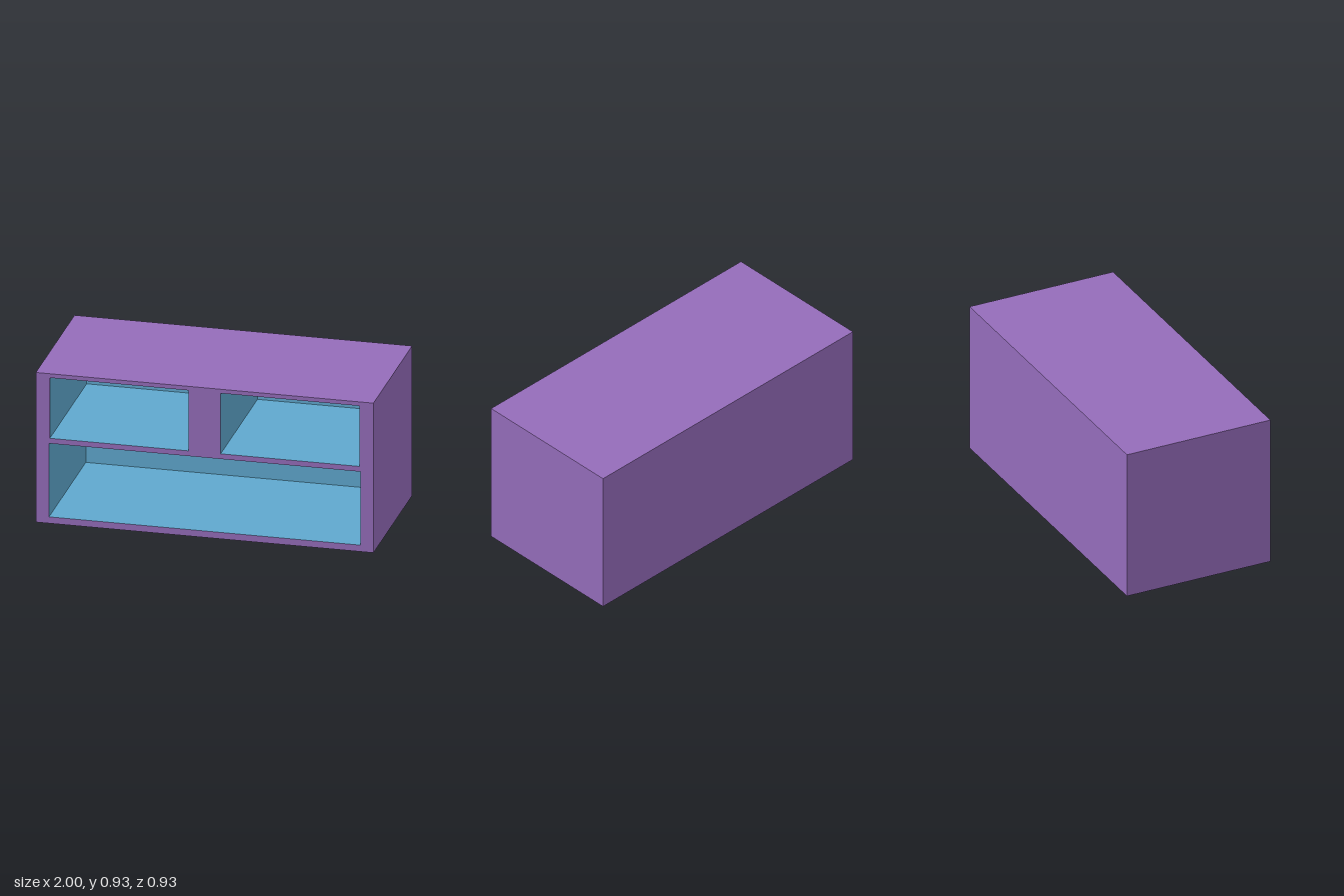
import * as THREE from 'three';

const W = 2, H = 0.925, D = 0.925;
const CAVITY_DEPTH = 0.88;

// Box without its +z face; inward turns the faces to look inside.
function openBox(w, h, d, inward) {
  const geo = new THREE.BoxGeometry(w, h, d);
  const index = Array.from(geo.index.array);
  index.splice(24, 6);
  if (inward) {
    index.reverse();
    const n = geo.attributes.normal;
    for (let i = 0; i < n.count; i++) n.setXYZ(i, -n.getX(i), -n.getY(i), -n.getZ(i));
  }
  geo.setIndex(index);
  geo.clearGroups();
  return geo;
}

export function createModel() {
  const group = new THREE.Group();
  const purple = new THREE.MeshStandardMaterial({ color: 0x946cba });
  purple.name = 'purple shell';
  const blue = new THREE.MeshStandardMaterial({ color: 0x5fa8ce });
  blue.name = 'blue lining';

  const add = (name, geo, mat, x, y, z) => {
    const mesh = new THREE.Mesh(geo, mat);
    mesh.name = name;
    mesh.position.set(x, y, z);
    group.add(mesh);
  };

  // Openings: x from, x to, y from, y to
  const openings = {
    lowerCompartment: [-0.922, 0.922, 0.04, 0.494],
    upperRightCompartment: [-0.917, -0.095, 0.526, 0.9],
    upperLeftCompartment: [0.095, 0.917, 0.526, 0.9],
  };

  // Outer shell: top, bottom, sides and back
  add('outerShell', openBox(W, H, D, false), purple, 0, H / 2, 0);

  // Front frame with three openings
  const rect = (P, x0, x1, y0, y1) => new P([
    new THREE.Vector2(x0, y0), new THREE.Vector2(x1, y0),
    new THREE.Vector2(x1, y1), new THREE.Vector2(x0, y1),
  ]);
  const frame = rect(THREE.Shape, -W / 2, W / 2, 0, H);
  for (const o of Object.values(openings)) frame.holes.push(rect(THREE.Path, ...o));
  add('frontFrame', new THREE.ShapeGeometry(frame), purple, 0, 0, D / 2);

  // Recessed compartments
  for (const [name, [x0, x1, y0, y1]] of Object.entries(openings)) {
    add(name, openBox(x1 - x0, y1 - y0, CAVITY_DEPTH, true), blue,
      (x0 + x1) / 2, (y0 + y1) / 2, D / 2 - CAVITY_DEPTH / 2);
  }
  return group;
}
